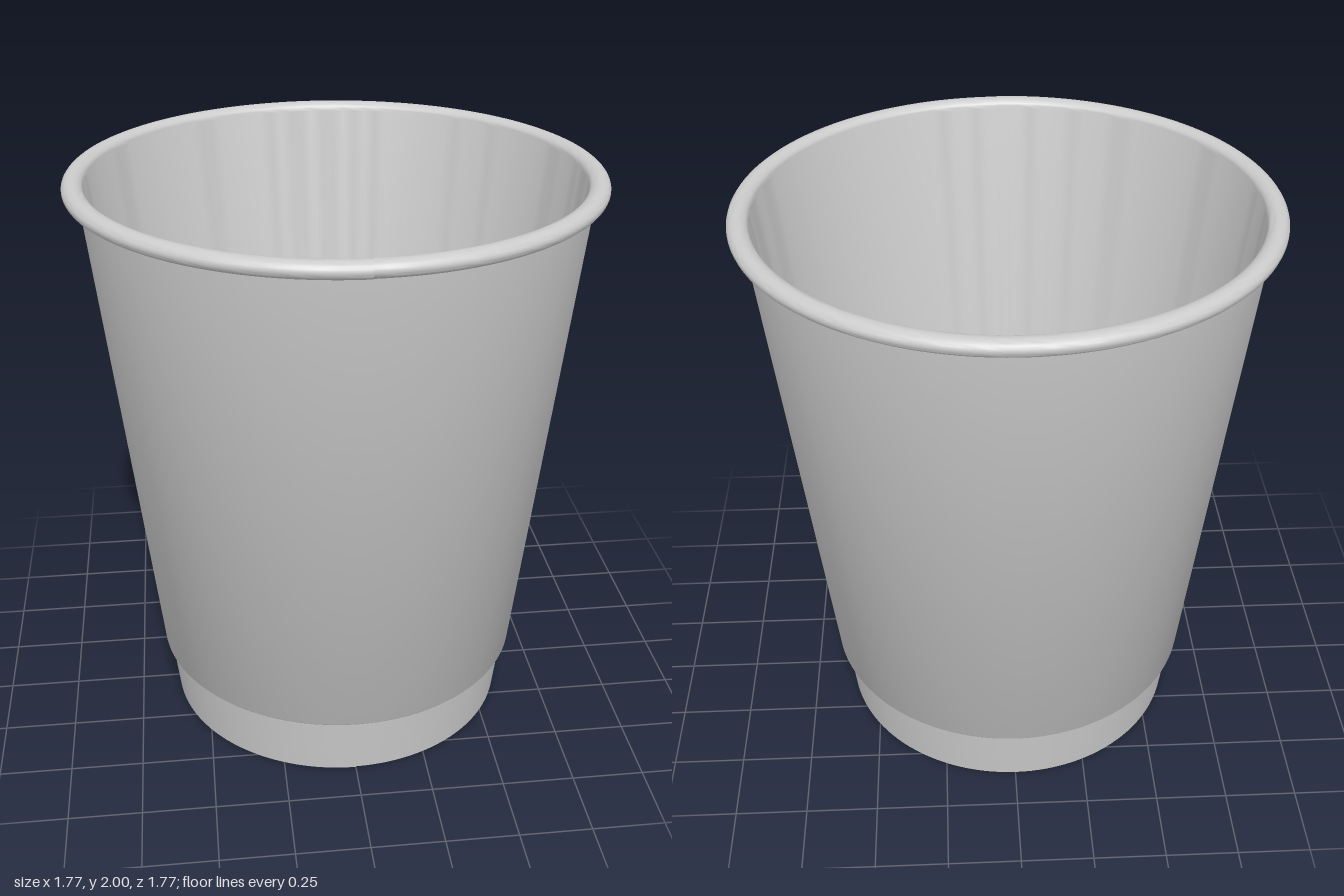
import * as THREE from 'three';
import { toCreasedNormals } from 'three/addons/utils/BufferGeometryUtils.js';

const material = new THREE.MeshStandardMaterial({ color: 0xcccccc, side: THREE.DoubleSide });
const SEGMENTS = 128;

// Revolves a closed profile as rolled paper: the radius grows slightly
// around the turn, leaving a small overlap step at the seam.
function rolledPaper(name, profile, seamAngle, growth) {
  const points = profile.map(([r, y]) => new THREE.Vector2(r, y));
  points.push(points[0].clone());
  const geometry = new THREE.LatheGeometry(points, SEGMENTS, seamAngle, Math.PI * 2);
  const pos = geometry.attributes.position;
  for (let i = 0; i < pos.count; i++) {
    const turn = Math.floor(i / points.length) / SEGMENTS;
    const scale = 1 + growth * (turn - 0.5);
    pos.setXYZ(i, pos.getX(i) * scale, pos.getY(i), pos.getZ(i) * scale);
  }
  const mesh = new THREE.Mesh(toCreasedNormals(geometry, 0.6), material);
  mesh.name = name;
  return mesh;
}

export function createModel() {
  const cup = new THREE.Group();
  cup.name = 'paperCup';

  // Inner cup: outer wall up, around the rolled rim, down the inside
  const wall = [[0.604, 0], [0.609, 0.005], [0.635, 0.23], [0.821, 1.95]];
  const rimSteps = 20;
  for (let i = 0; i <= rimSteps; i++) {
    const a = Math.PI * (-0.75 + (1.75 * i) / rimSteps);
    wall.push([0.85 + 0.035 * Math.cos(a), 1.972 + 0.028 * Math.sin(a)]);
  }
  wall.push([0.6, 0.11], [0.59, 0.005], [0.594, 0]);
  cup.add(rolledPaper('innerCupWithRolledRim', wall, 0, 0.005));

  // Outer sleeve, seam on the -x side
  const sleeve = [
    [0.638, 0.232], [0.65, 0.228], [0.655, 0.234],
    [0.839, 1.95], [0.822, 1.95],
  ];
  cup.add(rolledPaper('outerSleeve', sleeve, -Math.PI / 2, 0.006));

  // Recessed floor
  const floor = new THREE.Mesh(new THREE.CylinderGeometry(0.602, 0.602, 0.012, SEGMENTS), material);
  floor.name = 'floor';
  floor.position.y = 0.104;
  cup.add(floor);

  return cup;
}
